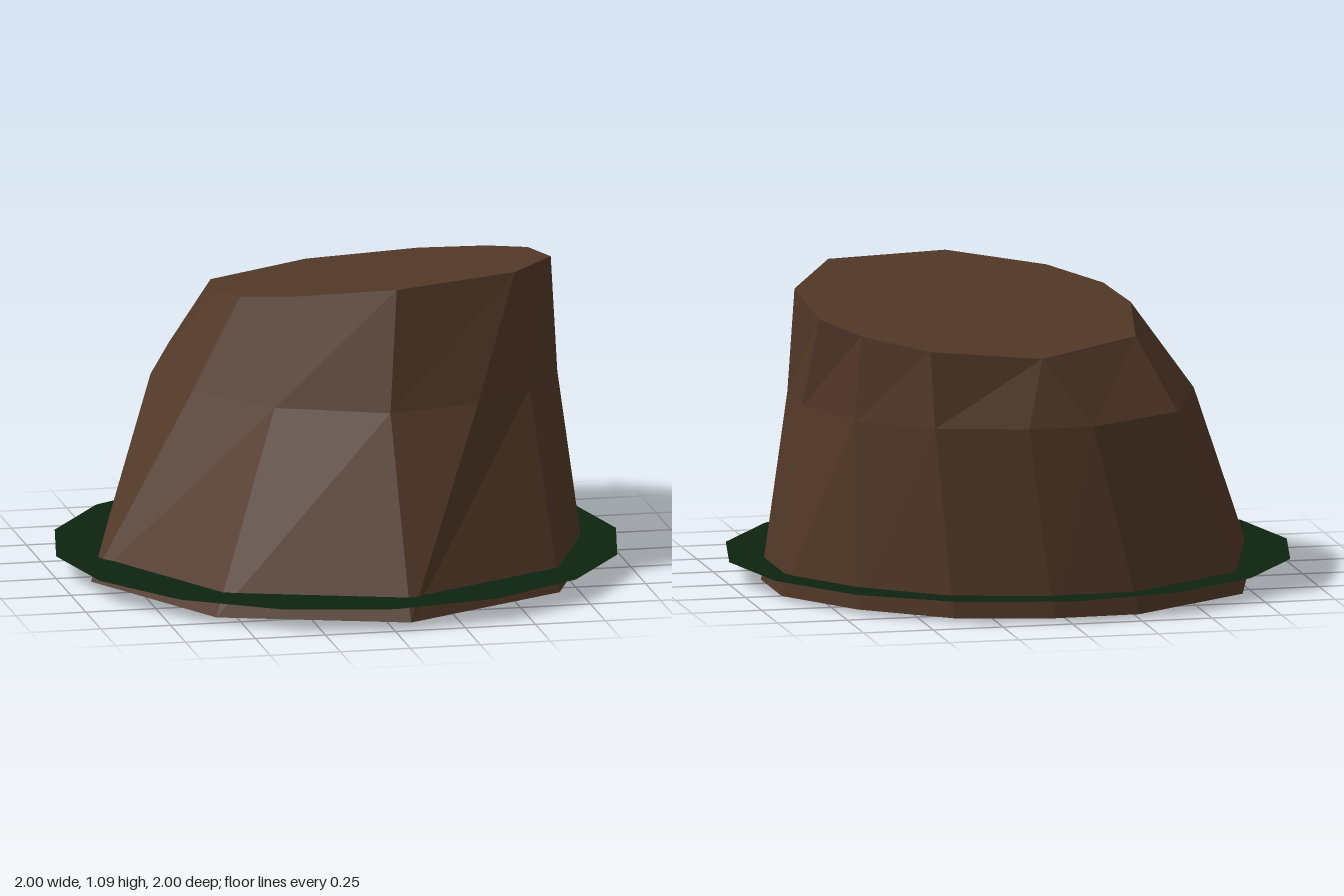
import * as THREE from 'three';

// Each column around the stump: base [x, z], middle [x, z], cut [x, z].
// Repeated points pinch a facet into a triangle.
const columns = [
  [[-0.57, 0.67], [-0.30, 0.38], [-0.20, 0.27]],
  [[0.08, 0.885], [0.08, 0.54], [0.13, 0.41]],
  [[0.08, 0.885], [0.41, 0.46], [0.58, 0.28]],
  [[0.68, 0.56], [0.63, 0.29], [0.58, 0.28]],
  [[0.87, 0.07], [0.78, 0.05], [0.78, -0.06]],
  [[0.87, -0.25], [0.79, -0.23], [0.77, -0.40]],
  [[0.67, -0.56], [0.68, -0.56], [0.66, -0.58]],
  [[0.38, -0.80], [0.44, -0.77], [0.45, -0.74]],
  [[0.04, -0.88], [0.12, -0.85], [0.06, -0.79]],
  [[-0.27, -0.87], [-0.11, -0.85], [0.06, -0.79]],
  [[-0.71, -0.57], [-0.46, -0.64], [-0.34, -0.51]],
  [[-0.89, 0.07], [-0.62, -0.20], [-0.41, -0.13]],
  [[-0.89, 0.07], [-0.53, 0.08], [-0.36, 0.08]],
];

// The cut is a tilted plane; the other rings are level.
const heights = [() => 0, () => 0.67, (x, z) => 1.014 + 0.063 * x + 0.141 * z];
const point = (column, ring) => {
  const [x, z] = columns[column % columns.length][ring];
  return [x, heights[ring](x, z), z];
};

function facets(triangles) {
  const geometry = new THREE.BufferGeometry();
  geometry.setAttribute('position', new THREE.Float32BufferAttribute(triangles.flat(2), 3));
  geometry.computeVertexNormals();
  return geometry;
}

// Closed fan over one ring, facing up or down
function fan(ring, up) {
  const centre = [0.15, heights[ring](0.15, -0.15), -0.15];
  return facets(columns.map((_, i) => {
    const a = point(i, ring), b = point(i + 1, ring);
    return up ? [centre, a, b] : [centre, b, a];
  }));
}

export function createModel() {
  const model = new THREE.Group();
  const wood = new THREE.MeshStandardMaterial({ color: 0x523828, flatShading: true });
  wood.name = 'brownWood';
  const grass = new THREE.MeshStandardMaterial({ color: 0x0d2410, flatShading: true, side: THREE.DoubleSide });
  grass.name = 'darkGreen';

  const add = (name, geometry, material) => {
    const mesh = new THREE.Mesh(geometry, material);
    mesh.name = name;
    model.add(mesh);
    return mesh;
  };

  // Faceted bark wall
  const wall = [];
  for (let ring = 0; ring < 2; ring++) {
    for (let i = 0; i < columns.length; i++) {
      const a = point(i, ring), b = point(i + 1, ring);
      const c = point(i + 1, ring + 1), d = point(i, ring + 1);
      wall.push([a, b, c], [a, c, d]);
    }
  }
  add('bark', facets(wall), wood);
  add('cutTop', fan(2, true), wood);
  add('underside', fan(0, false), wood);

  // Flat patch of ground cover around the foot
  const patch = add('groundPatch', new THREE.CircleGeometry(1, 16), grass);
  patch.rotation.x = -Math.PI / 2;
  patch.position.y = 0.08;

  return model;
}
